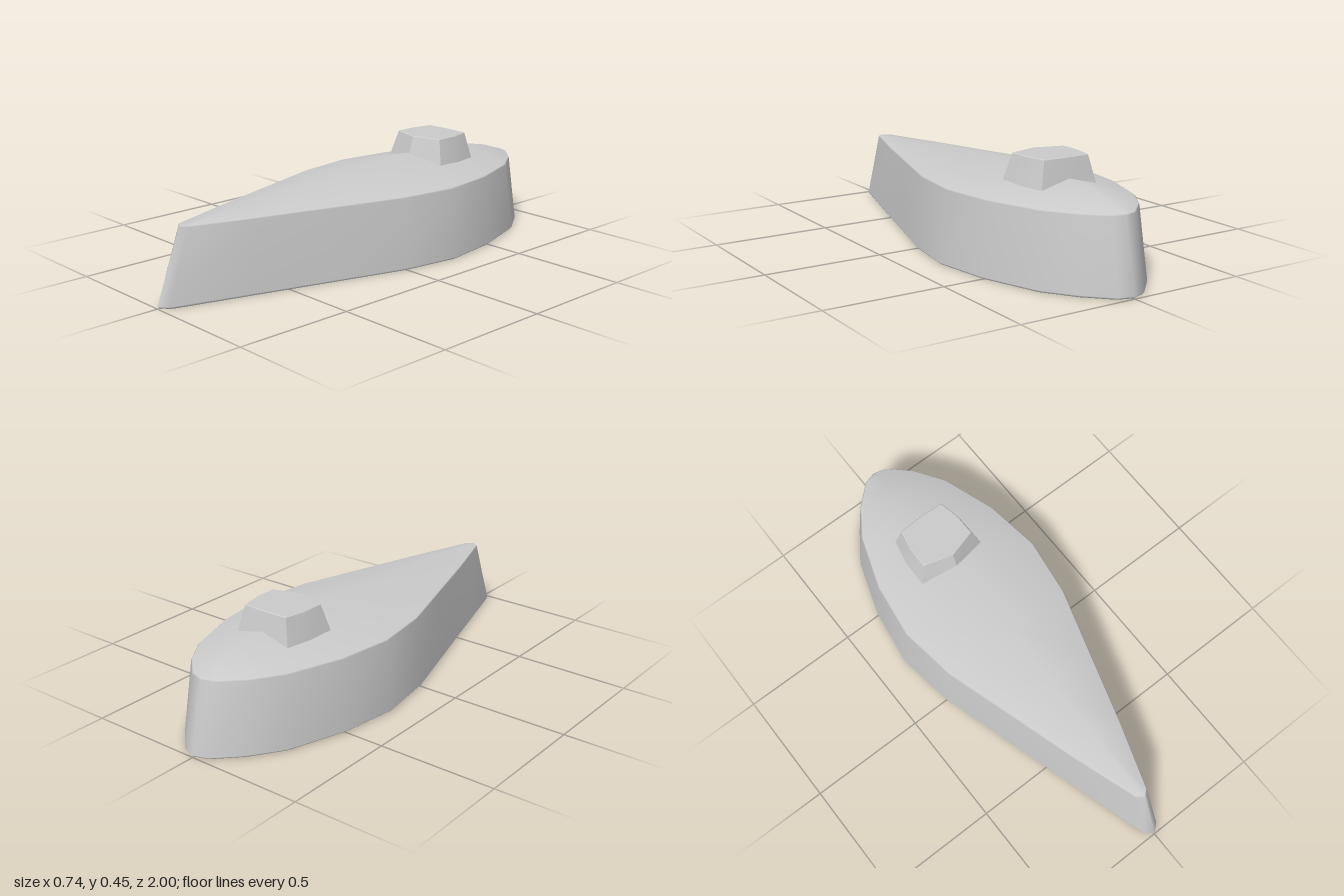
import * as THREE from 'three';
import { mergeVertices, toCreasedNormals } from 'three/addons/utils/BufferGeometryUtils.js';

// Mirror a half outline of [x, z] (front tip first, rear last) into a closed loop.
function mirrorLoop(half) {
  const back = half.filter(([x]) => x > 0).reverse().map(([x, z]) => [-x, z]);
  return [...half, ...back];
}

// Skin between closed loops of [x, y, z] stacked from bottom to top.
function loft(rings) {
  const n = rings[0].length;
  const positions = rings.flat(2);
  const index = [];
  for (let r = 0; r < rings.length - 1; r++) {
    for (let i = 0; i < n; i++) {
      const j = (i + 1) % n;
      const a = r * n + i, b = r * n + j, c = b + n, d = a + n;
      index.push(a, b, c, a, c, d);
    }
  }
  const geometry = new THREE.BufferGeometry();
  geometry.setAttribute('position', new THREE.Float32BufferAttribute(positions, 3));
  geometry.setIndex(index);
  const merged = mergeVertices(geometry, 1e-4);
  merged.computeVertexNormals();
  return merged;
}

function createHull() {
  // Half outlines at the waterline and at the deck edge
  const base = mirrorLoop([
    [0, 1], [0.035, 0.97], [0.13, 0.66], [0.23, 0.33], [0.33, 0], [0.368, -0.25],
    [0.333, -0.5], [0.25, -0.75], [0.16, -0.88], [0.06, -0.98], [0, -1],
  ]);
  const deck = mirrorLoop([
    [0, 0.89], [0.027, 0.87], [0.118, 0.6], [0.21, 0.3], [0.302, 0], [0.337, -0.25],
    [0.304, -0.49], [0.225, -0.72], [0.145, -0.84], [0.055, -0.925], [0, -0.94],
  ]);
  // Height of the deck ridge along the centre line, bow to stern
  const ridge = [0.3, 0.303, 0.328, 0.35, 0.367, 0.378, 0.378, 0.36, 0.335, 0.306, 0.3];
  const ridgeY = (i) => ridge[i < ridge.length ? i : deck.length - i];

  const geometry = loft([
    base.map(([, z]) => [0, 0, z * 0.99]),
    base.map(([x, z]) => [x * 0.975, 0, z * 0.99]),
    base.map(([x, z]) => [x, 0.009, z]),
    deck.map(([x, z]) => [x, 0.298, z]),
    deck.map(([x, z]) => [x * 0.985, 0.303, z * 0.995]),
    deck.map(([, z], i) => [0, Math.max(0.303, ridgeY(i)), z * 0.995]),
  ]);
  return geometry;
}

function createCabin() {
  const foot = mirrorLoop([[0, -0.325], [0.156, -0.373], [0.154, -0.49], [0.129, -0.6], [0, -0.605]]);
  const roof = mirrorLoop([[0, -0.36], [0.124, -0.396], [0.123, -0.49], [0.104, -0.578], [0, -0.583]]);
  const geometry = loft([
    foot.map(([x, z]) => [x, 0.335, z]),
    roof.map(([x, z]) => [x, 0.447, z]),
    roof.map(([x, z]) => [x * 0.97, 0.45, -0.48 + (z + 0.48) * 0.97]),
    roof.map(() => [0, 0.45, -0.48]),
  ]);
  return toCreasedNormals(geometry, 0.5);
}

export function createModel() {
  const model = new THREE.Group();
  model.name = 'boat';
  const material = new THREE.MeshStandardMaterial({ color: 0xcccccc });

  // Smooth hull with flat keel and ridged deck
  const hull = new THREE.Mesh(createHull(), material);
  hull.name = 'hull';

  // Tapered cabin with a pointed front, seated into the deck
  const cabin = new THREE.Mesh(createCabin(), material);
  cabin.name = 'cabin';

  model.add(hull, cabin);
  return model;
}
